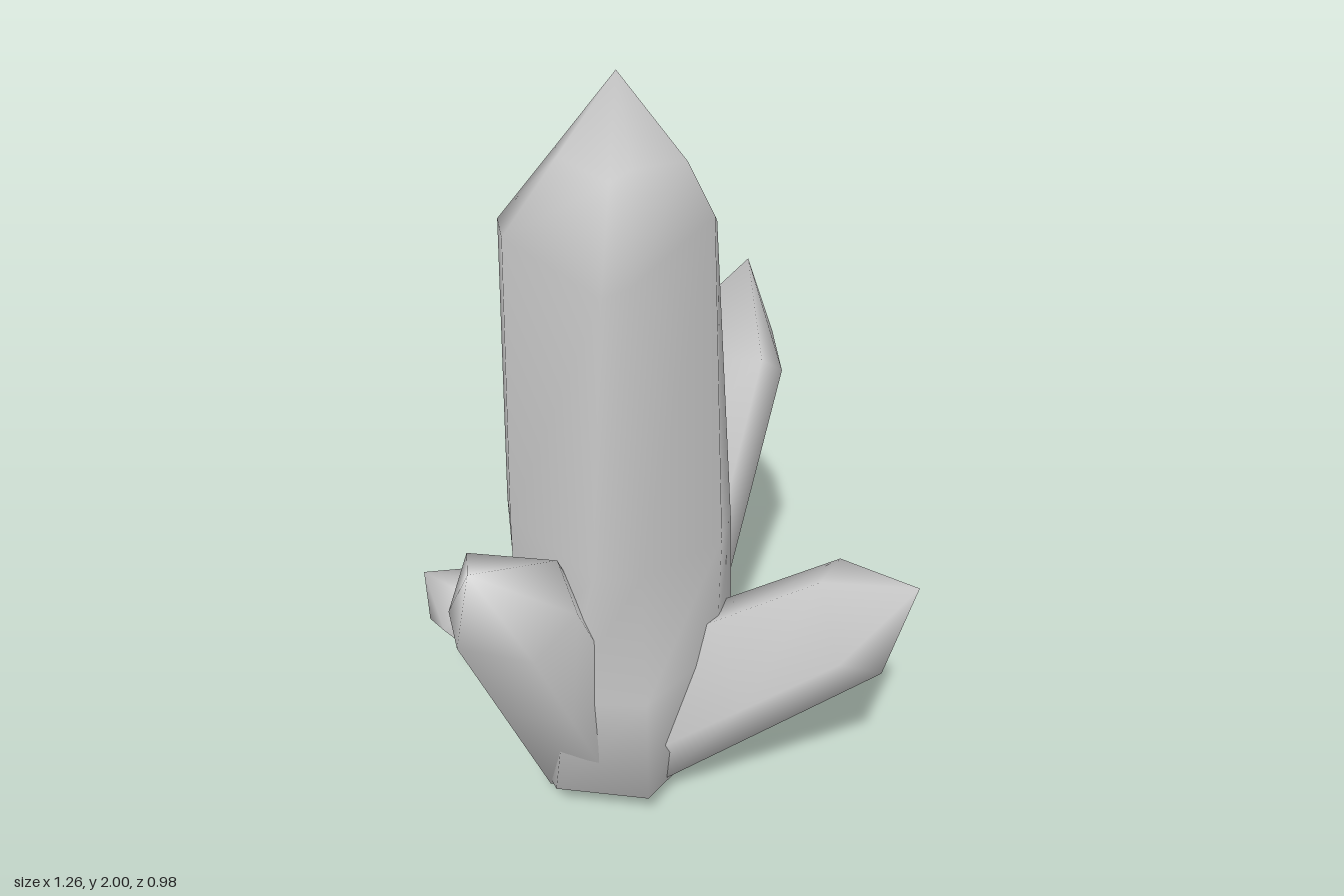
import * as THREE from 'three';

const V = (p) => new THREE.Vector3(...p);

// Skin a stack of equal-sized rings, closed by a point at each end
function skin(name, rings, bottom, tip) {
  const n = rings[0].length, pos = [], idx = [];
  [bottom, ...rings.flat(), tip].forEach((p) => pos.push(p.x, p.y, p.z));
  const at = (r, i) => 1 + r * n + (i % n), last = 1 + rings.length * n;
  for (let i = 0; i < n; i++) {
    idx.push(0, at(0, i), at(0, i + 1));
    for (let r = 0; r < rings.length - 1; r++) {
      idx.push(at(r, i), at(r + 1, i), at(r + 1, i + 1));
      idx.push(at(r, i), at(r + 1, i + 1), at(r, i + 1));
    }
    idx.push(last, at(rings.length - 1, i + 1), at(rings.length - 1, i));
  }
  // Corners run counter-clockwise or clockwise: flip if the volume is negative
  const p = (k) => new THREE.Vector3().fromArray(pos, k * 3).sub(rings[0][0]);
  let volume = 0;
  for (let k = 0; k < idx.length; k += 3) volume += p(idx[k]).dot(p(idx[k + 1]).cross(p(idx[k + 2])));
  if (volume < 0) idx.reverse();
  const g = new THREE.BufferGeometry();
  g.setAttribute('position', new THREE.Float32BufferAttribute(pos, 3));
  g.setIndex(idx);
  g.computeVertexNormals();
  const mesh = new THREE.Mesh(g, new THREE.MeshStandardMaterial({ color: 0xcccccc }));
  mesh.name = name;
  return mesh;
}

const centre = (ring) => ring.reduce((s, p) => s.add(p), V([0, 0, 0])).divideScalar(ring.length);

// Leaning crystal: shoulder corners swept down the axis to a scaled base
function shard(name, { tip, shoulder, base, scale, floor }) {
  const top = shoulder.map(V), c = centre(top), b = V(base);
  const axis = c.clone().sub(b).normalize();
  const foot = top.map((p) => {
    const d = p.clone().sub(c);
    d.addScaledVector(axis, -d.dot(axis)).multiplyScalar(scale).add(b);
    d.y = Math.max(d.y, floor);
    return d;
  });
  const middle = top.map((p, i) => foot[i].clone().lerp(p, 0.55));
  return skin(name, [foot, middle, top], centre(foot), V(tip));
}

export function createModel() {
  const group = new THREE.Group();
  group.name = 'crystalCluster';

  // Tall central crystal: foot, flared root, waist, shoulder and chamfered cap
  const rings = [
    [[-0.3, 0.03, 0.06], [-0.28, 0.06, 0.18], [-0.24, 0.12, 0.28], [0, 0.12, 0.28], [0.05, 0.07, 0.12], [0.05, 0.03, -0.05], [-0.01, 0, -0.21], [-0.2, 0.03, -0.18]],
    [[-0.37, 0.45, 0.06], [-0.34, 0.45, 0.2], [-0.2, 0.45, 0.31], [0, 0.45, 0.295], [0.15, 0.5, 0.12], [0.16, 0.5, -0.1], [0.08, 0.5, -0.28], [-0.25, 0.48, -0.26]],
    [[-0.37, 0.9, 0.1], [-0.345, 0.9, 0.18], [-0.12, 0.85, 0.32], [-0.01, 0.85, 0.305], [0.15, 0.8, 0.06], [0.16, 0.8, -0.04], [0.01, 1.15, -0.22], [-0.22, 1.02, -0.21]],
    [[-0.355, 1.65, 0.1], [-0.325, 1.65, 0.19], [-0.08, 1.61, 0.355], [-0.02, 1.63, 0.335], [0.12, 1.67, 0.06], [0.115, 1.62, -0.02], [-0.04, 1.61, -0.18], [-0.2, 1.62, -0.16]],
    [[-0.222, 1.825, 0.09], [-0.208, 1.825, 0.14], [-0.085, 1.805, 0.217], [-0.04, 1.83, 0.19], [0.06, 1.8, 0.07], [0.025, 1.79, 0], [-0.07, 1.77, -0.08], [-0.14, 1.79, -0.08]],
  ].map((ring) => ring.map(V));
  group.add(skin('centralCrystal', rings, V([-0.1, 0.04, 0.02]), V([-0.09, 2, 0.08])));

  group.add(shard('backCrystal', {
    tip: [0.15, 1.33, -0.4],
    shoulder: [[0.21, 1.08, -0.485], [-0.03, 1.02, -0.49], [-0.13, 0.96, -0.38], [-0.09, 1.14, -0.2], [0.21, 1.16, -0.2], [0.25, 1.05, -0.34]],
    base: [-0.11, 0.1, -0.085], scale: 0.97, floor: 0.02,
  }));

  group.add(shard('leftCrystal', {
    tip: [0.63, 0.865, 0.265],
    shoulder: [[0.4, 0.805, 0.2], [0.44, 0.79, 0.08], [0.58, 0.71, 0.085], [0.585, 0.64, 0.2], [0.56, 0.63, 0.3], [0.46, 0.66, 0.32]],
    base: [-0.03, 0.22, 0.05], scale: 1.35, floor: 0.04,
  }));

  group.add(shard('frontCrystal', {
    tip: [-0.375, 0.95, 0.475],
    shoulder: [[-0.455, 0.76, 0.38], [-0.41, 0.74, 0.485], [-0.23, 0.72, 0.485], [-0.15, 0.77, 0.36], [-0.21, 0.87, 0.29], [-0.43, 0.86, 0.28]],
    base: [-0.175, 0.12, 0.1], scale: 1.05, floor: 0.06,
  }));

  group.add(shard('rightCrystal', {
    tip: [-0.63, 0.565, 0],
    shoulder: [[-0.625, 0.41, 0], [-0.57, 0.4, -0.09], [-0.46, 0.5, -0.14], [-0.43, 0.53, -0.03], [-0.49, 0.54, 0.055], [-0.57, 0.43, 0.065]],
    base: [-0.13, 0.18, -0.1], scale: 1.9, floor: 0.05,
  }));

  return group;
}
